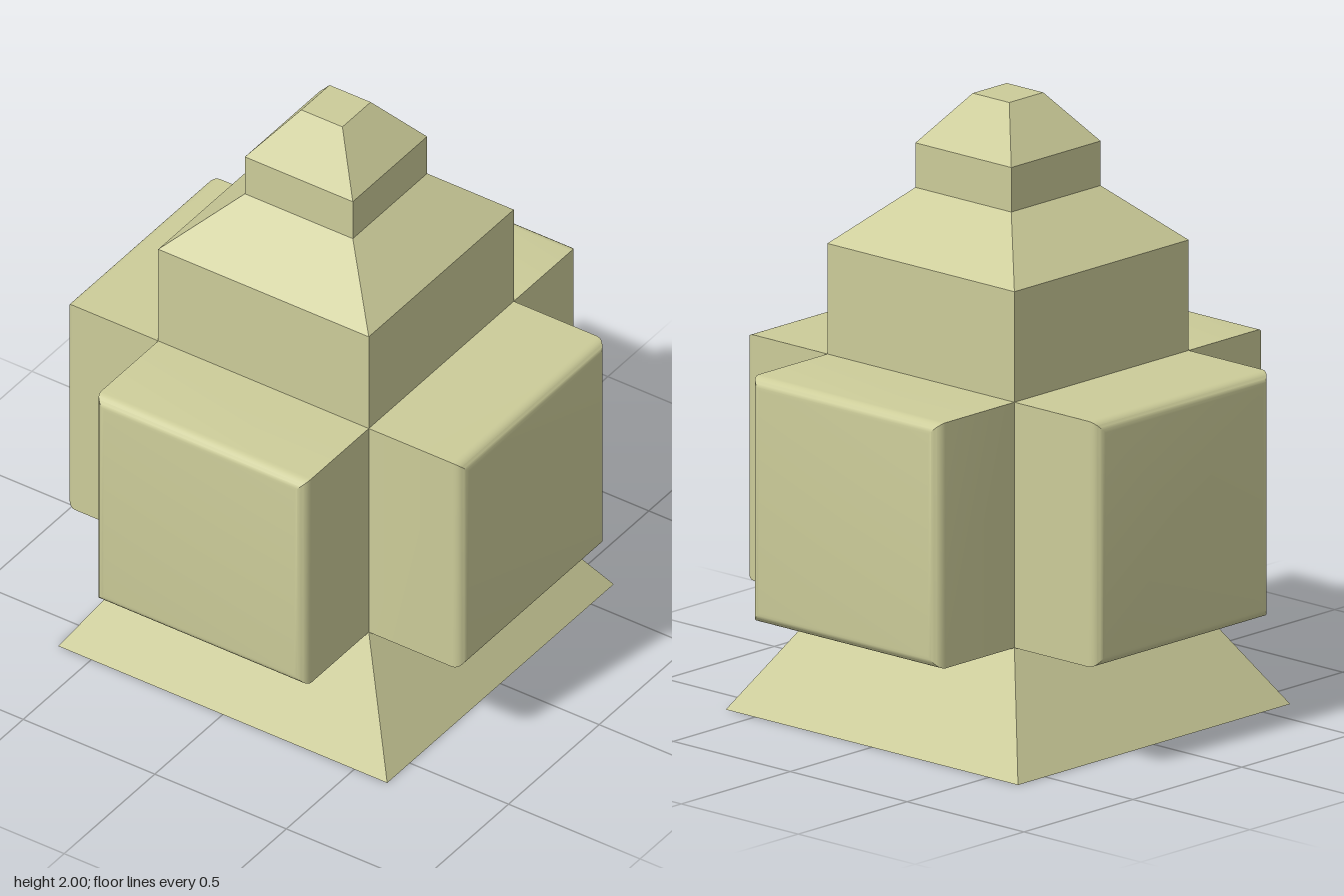
import * as THREE from 'three';
import { toCreasedNormals } from 'three/addons/utils/BufferGeometryUtils.js';

const material = new THREE.MeshStandardMaterial({ color: 0xcccc99 });

// Solid with a square plan: profile is a list of [half width, height], bottom to top.
function squareLathe(profile) {
  const points = profile.map(([half, y]) => new THREE.Vector2(half * Math.SQRT2, y));
  return toCreasedNormals(new THREE.LatheGeometry(points, 4, Math.PI / 4), 0.5);
}

function addPart(parent, name, geometry) {
  const mesh = new THREE.Mesh(geometry, material);
  mesh.name = name;
  parent.add(mesh);
  return mesh;
}

export function createModel() {
  const model = new THREE.Group();
  model.name = 'tower';

  // Flared foot, square shaft, sloped shoulders, neck and cap
  addPart(model, 'towerBody', squareLathe([
    [0, 0], [0.625, 0], [0.4, 0.355], [0.4, 1.515],
    [0.205, 1.695], [0.205, 1.84], [0.078, 2], [0, 2],
  ]));

  // Side block: sharp long edges, rounded rim around the outer face
  const half = 0.4, depth = 0.355, radius = 0.038, steps = 6;
  const profile = [[half, 0]];
  for (let i = 0; i <= steps; i++) {
    const a = (i / steps) * Math.PI / 2;
    profile.push([half - radius * (1 - Math.cos(a)), depth - radius * (1 - Math.sin(a))]);
  }
  profile.push([0, depth]);
  const block = squareLathe(profile).rotateX(Math.PI / 2).translate(0, 0.755, 0.4);

  // One block on each side of the shaft
  ['frontBlock', 'leftBlock', 'backBlock', 'rightBlock'].forEach((name, i) => {
    addPart(model, name, block).rotation.y = i * Math.PI / 2;
  });

  return model;
}
